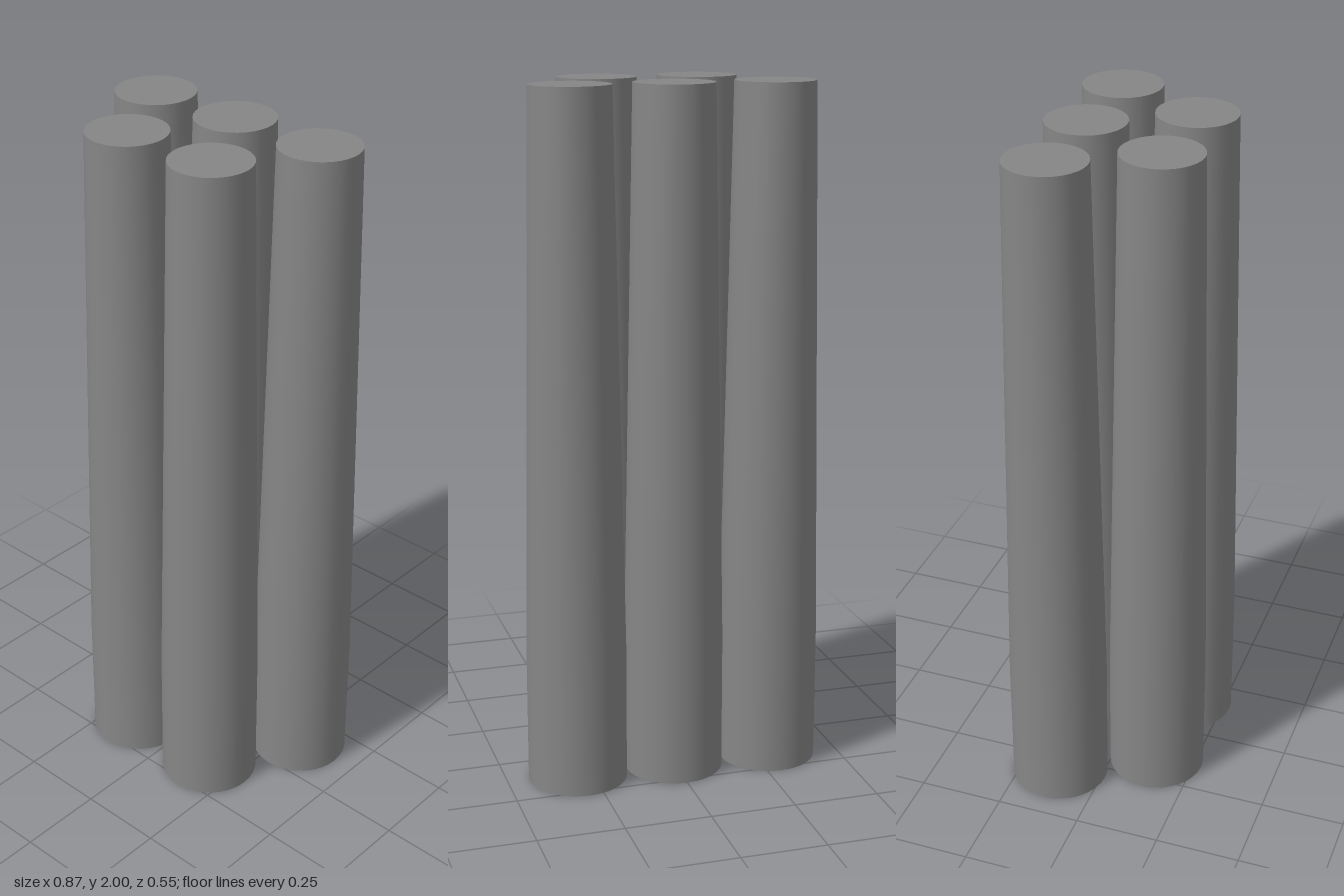
import * as THREE from 'three';

const HEIGHT = 2, R_BASE = 0.144, R_TOP = 0.1145;
const STRAIGHT = 0.2; // share of the shaft that stays straight before tapering

// Column shaft: straight at the foot, then an even taper to the top
function columnGeometry() {
  const geo = new THREE.CylinderGeometry(1, 1, HEIGHT, 32, 5);
  geo.translate(0, HEIGHT / 2, 0);
  const pos = geo.attributes.position;
  for (let i = 0; i < pos.count; i++) {
    const t = Math.max(0, (pos.getY(i) / HEIGHT - STRAIGHT) / (1 - STRAIGHT));
    const r = THREE.MathUtils.lerp(R_BASE, R_TOP, t);
    pos.setX(i, pos.getX(i) * r);
    pos.setZ(i, pos.getZ(i) * r);
  }
  return geo;
}

export function createModel() {
  const model = new THREE.Group();
  model.name = 'columnCluster';
  const material = new THREE.MeshStandardMaterial({ color: 0x868686 });
  const geometry = columnGeometry();

  // Three columns behind, two in front standing in the gaps
  const rows = [
    { name: 'backColumn', z: -0.132, xs: [-0.292, 0, 0.292] },
    { name: 'frontColumn', z: 0.131, xs: [-0.147, 0.15] },
  ];
  for (const row of rows) {
    row.xs.forEach((x, i) => {
      const column = new THREE.Mesh(geometry, material);
      column.name = row.name + (i + 1);
      column.position.set(x, 0, row.z);
      model.add(column);
    });
  }
  return model;
}
